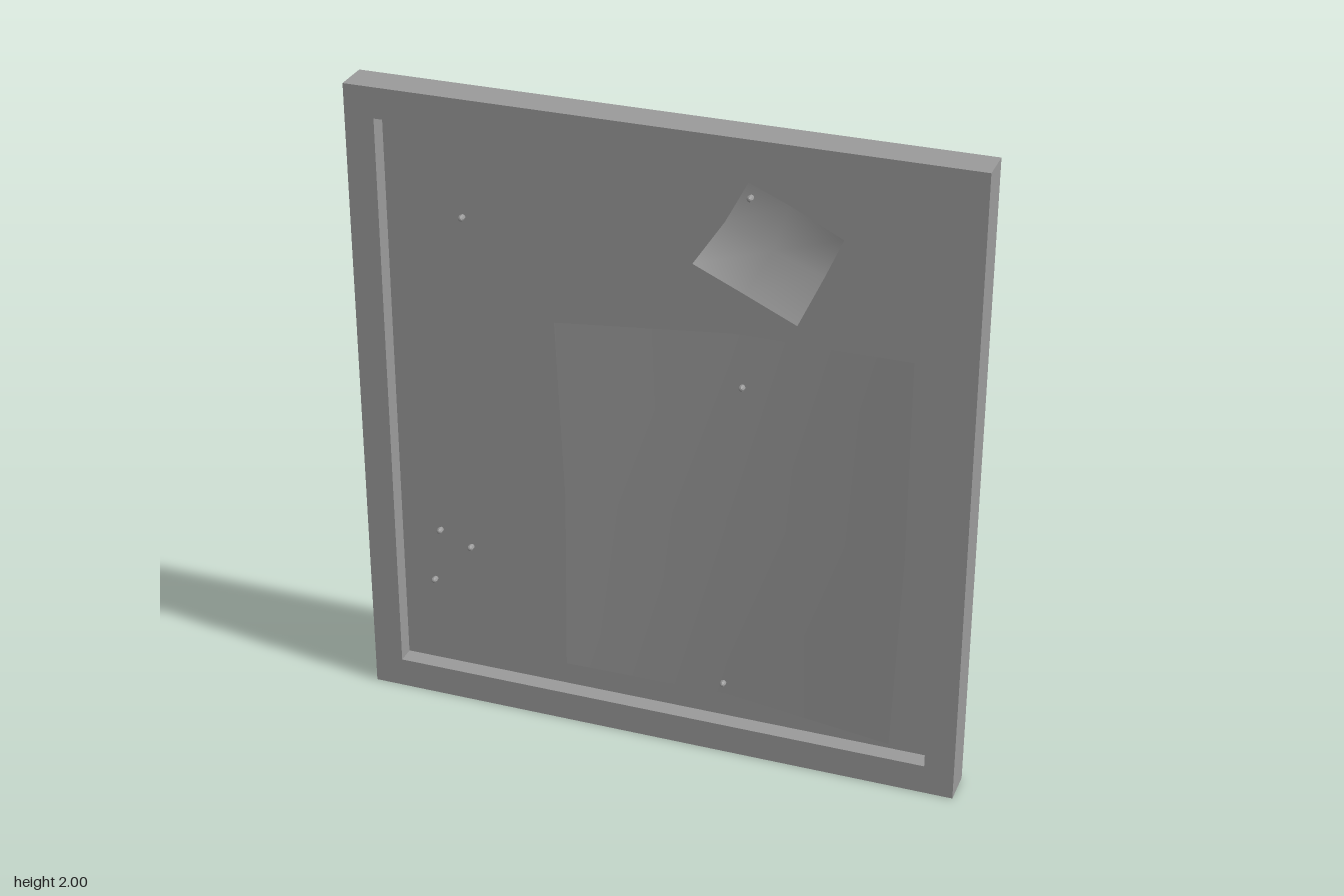
import * as THREE from 'three';

const W = 0.93, IN_W = 0.84, BORDER = 0.094;
const FRONT = 0.03, BACK = -0.08, PANEL = -0.025;

const mat = (flat) => new THREE.MeshStandardMaterial({
  color: 0x9a9a9a, side: THREE.DoubleSide, flatShading: flat,
});

function rectPath(path, hw, y0, y1) {
  path.moveTo(-hw, y0);
  path.lineTo(hw, y0);
  path.lineTo(hw, y1);
  path.lineTo(-hw, y1);
  path.closePath();
  return path;
}

// Four thin walls around a rectangle, between two depths
function addWalls(group, name, hw, y0, y1, zA, zB) {
  const depth = zA - zB, zMid = (zA + zB) / 2, h = y1 - y0, yMid = (y0 + y1) / 2;
  for (const s of [-1, 1]) {
    const side = new THREE.Mesh(new THREE.PlaneGeometry(depth, h), mat(true));
    side.rotation.y = s * Math.PI / 2;
    side.position.set(s * hw, yMid, zMid);
    side.name = name + 'Side';
    const cap = new THREE.Mesh(new THREE.PlaneGeometry(hw * 2, depth), mat(true));
    cap.rotation.x = -s * Math.PI / 2;
    cap.position.set(0, yMid + s * h / 2, zMid);
    cap.name = name + (s > 0 ? 'Top' : 'Bottom');
    group.add(side, cap);
  }
}

// Curled sheet from a 3 x 3 grid of points, rows top to bottom
function makeSheet(name, rows) {
  const geo = new THREE.PlaneGeometry(1, 1, 2, 2);
  rows.flat().forEach((p, i) => geo.attributes.position.setXYZ(i, ...p));
  geo.computeVertexNormals();
  const mesh = new THREE.Mesh(geo, mat(false));
  mesh.name = name;
  return mesh;
}

export function createModel() {
  const root = new THREE.Group();
  root.name = 'noticeBoard';

  // Frame: hollow shell, open at the back
  const frame = new THREE.Group();
  frame.name = 'frame';
  const ring = rectPath(new THREE.Shape(), W, 0, 2);
  ring.holes.push(rectPath(new THREE.Path(), IN_W, BORDER, 2 - BORDER));
  const face = new THREE.Mesh(new THREE.ShapeGeometry(ring), mat(true));
  face.position.z = FRONT;
  face.name = 'frameFace';
  frame.add(face);
  addWalls(frame, 'outerWall', W, 0, 2, FRONT, BACK);
  addWalls(frame, 'recessWall', IN_W, BORDER, 2 - BORDER, FRONT, PANEL);
  root.add(frame);

  // Recessed pin board
  const board = new THREE.Mesh(new THREE.PlaneGeometry(IN_W * 2, 2 - BORDER * 2), mat(true));
  board.position.set(0, 1, PANEL);
  board.name = 'board';
  root.add(board);

  // Pinned papers with lifted corners
  root.add(makeSheet('largePaper', [
    [[-0.30, 1.365, 0.045], [0.21, 1.388, -0.018], [0.745, 1.402, 0.01]],
    [[-0.285, 0.78, 0.02], [0.22, 0.78, -0.02], [0.748, 0.78, 0.02]],
    [[-0.295, 0.19, 0.01], [0.21, 0.175, -0.018], [0.733, 0.158, 0.045]],
  ]));
  root.add(makeSheet('smallPaper', [
    [[0.25, 1.85, -0.024], [0.37, 1.80, -0.022], [0.533, 1.735, 0.005]],
    [[0.185, 1.725, -0.022], [0.33, 1.665, -0.01], [0.475, 1.605, -0.02]],
    [[0.125, 1.632, 0.077], [0.27, 1.552, 0.055], [0.42, 1.477, 0.047]],
  ]));

  // Pins with rounded heads, set into the board
  const pins = [
    [-0.60, 1.62], [-0.71, 0.565], [-0.61, 0.525], [-0.735, 0.385],
    [0.245, 1.225], [0.20, 0.215], [0.26, 1.81],
  ];
  for (const [x, y] of pins) {
    const pin = new THREE.Mesh(new THREE.CapsuleGeometry(0.009, 0.01, 3, 8), mat(true));
    pin.rotation.x = Math.PI / 2;
    pin.position.set(x, y, -0.012);
    pin.name = 'pin';
    root.add(pin);
  }
  return root;
}
